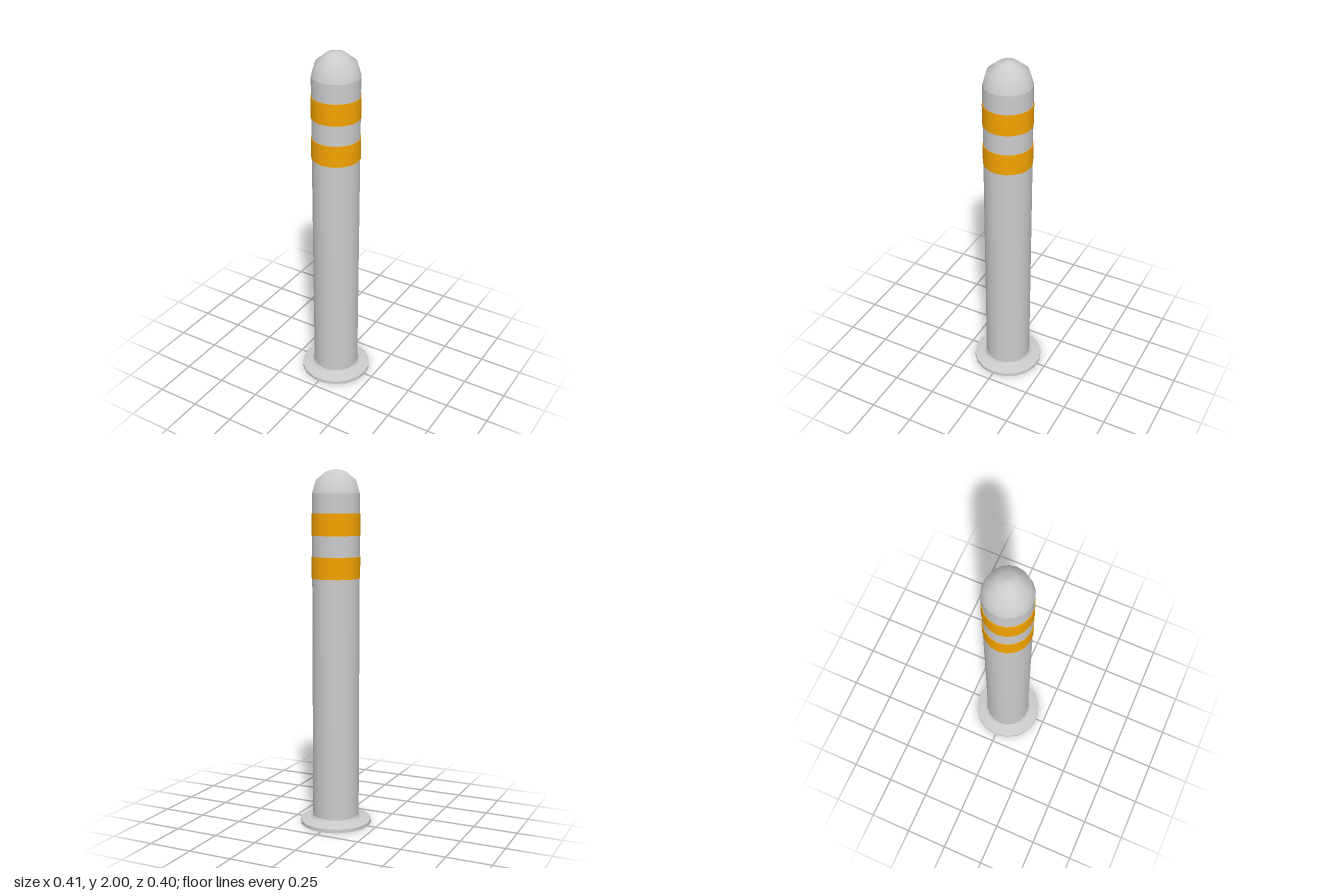
import * as THREE from 'three';

const SIDES = 18;
const grey = new THREE.MeshStandardMaterial({ color: 0xcccccc });
const amber = new THREE.MeshStandardMaterial({ color: 0xf5a300 });

// Revolves a profile of [radius, height] points, listed from bottom to top
function lathe(name, profile, material = grey) {
  const points = profile.map(([r, y]) => new THREE.Vector2(r, y));
  const mesh = new THREE.Mesh(new THREE.LatheGeometry(points, SIDES, Math.PI / 2), material);
  mesh.name = name;
  return mesh;
}

export function createModel() {
  const model = new THREE.Group();
  model.name = 'bollard';
  const R = 0.132;

  // Base plate: underside, rim and sloping top kept separate for crisp edges
  const base = new THREE.Group();
  base.name = 'basePlate';
  base.add(
    lathe('baseUnderside', [[0, 0], [0.203, 0]]),
    lathe('baseRim', [[0.203, 0], [0.203, 0.02]]),
    lathe('baseTop', [[0.203, 0.02], [0.143, 0.032]]),
    lathe('baseCollar', [[0.143, 0.032], [R, 0.047]])
  );
  model.add(base);

  // Post with a rounded cap
  model.add(lathe('post', [[R, 0.047], [R, 1.866]]));
  model.add(lathe('domeCap', [[R, 1.866], [0.11, 1.941], [0.052, 1.987], [0, 2]]));

  // Two raised bands
  for (const y of [1.405, 1.64]) {
    const h = 0.12, r = 0.135;
    const band = new THREE.Group();
    band.name = 'band';
    band.add(
      lathe('bandBottom', [[R, y], [r, y]], amber),
      lathe('bandFace', [[r, y], [r, y + h]], amber),
      lathe('bandTop', [[r, y + h], [R, y + h]], amber)
    );
    model.add(band);
  }
  return model;
}
